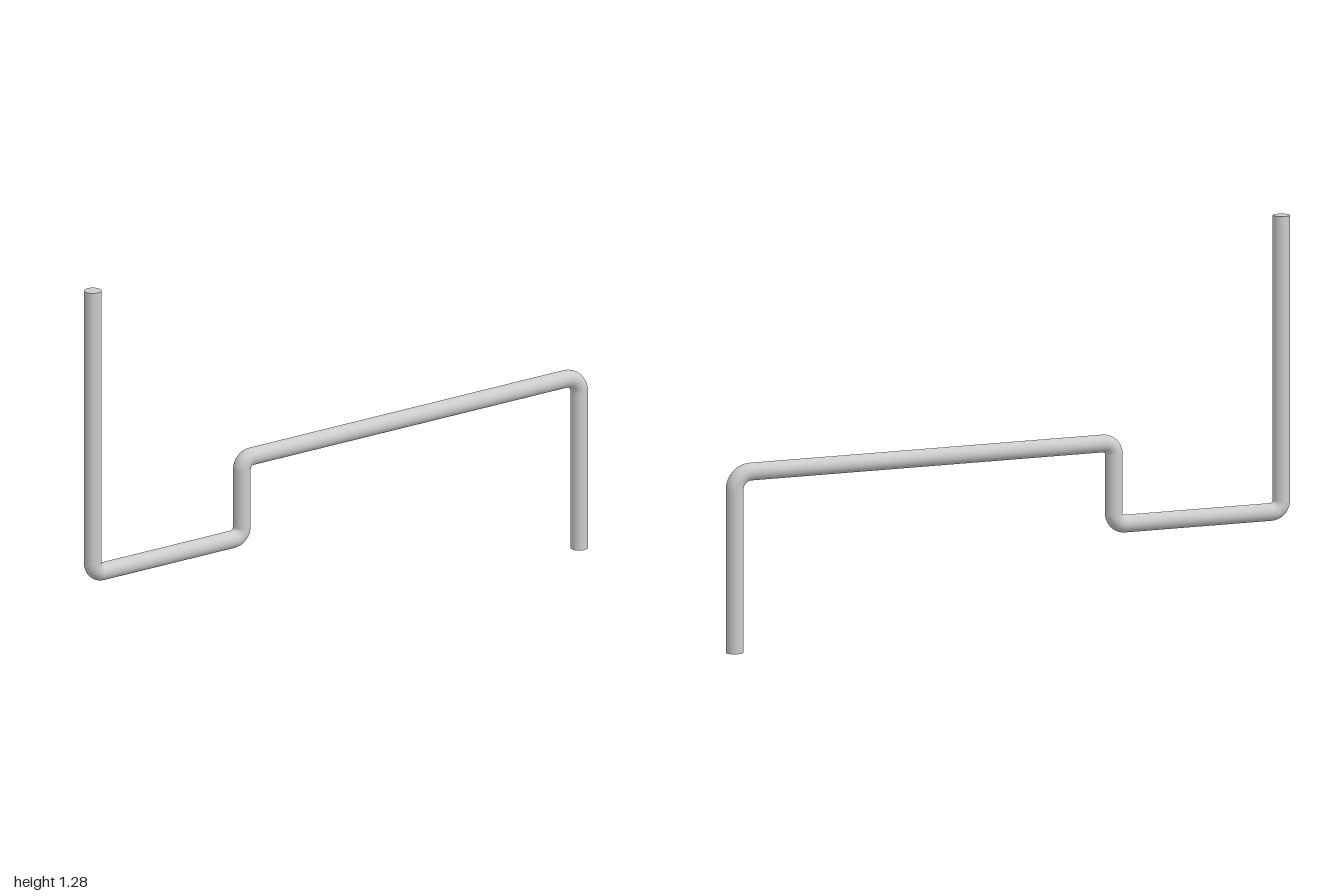
import * as THREE from 'three';

const R = 0.0285; // rod radius
const SIDES = 32;
const BEND_STEPS = 10;

// Corner points of the rod in the x = 0 plane: [z, y, bend radius]
const CORNERS = [
  [0.9715, 1.285, 0],
  [0.9715, 0.32, 0.037],
  [0.376, 0.32, 0.037],
  [0.376, 0.587, 0.037],
  [-0.9715, 0.587, 0.055],
  [-0.9715, 0, 0],
];

// Stations along the centre line: straight runs joined by circular bends
function centreLine() {
  const pts = CORNERS.map(([z, y]) => new THREE.Vector3(0, y, z));
  const dir = (i) => pts[i + 1].clone().sub(pts[i]).normalize();
  const stations = [{ p: pts[0], t: dir(0) }];
  for (let i = 1; i < pts.length - 1; i++) {
    const r = CORNERS[i][2], t0 = dir(i - 1), t1 = dir(i);
    const centre = pts[i].clone().addScaledVector(t0, -r).addScaledVector(t1, r);
    for (let k = 0; k <= BEND_STEPS; k++) {
      const a = (k / BEND_STEPS) * Math.PI / 2, c = Math.cos(a), s = Math.sin(a);
      stations.push({
        p: centre.clone().addScaledVector(t1, -r * c).addScaledVector(t0, r * s),
        t: t0.clone().multiplyScalar(c).addScaledVector(t1, s),
      });
    }
  }
  stations.push({ p: pts[pts.length - 1], t: dir(pts.length - 2) });
  return stations;
}

// Sweep a circle along the stations, with smooth radial normals
function sweep(stations) {
  const pos = [], nor = [], idx = [];
  const side = new THREE.Vector3(1, 0, 0);
  stations.forEach(({ p, t }, i) => {
    const n = side.clone().cross(t);
    for (let j = 0; j <= SIDES; j++) {
      const a = (j / SIDES) * Math.PI * 2;
      const d = n.clone().multiplyScalar(Math.cos(a)).addScaledVector(side, Math.sin(a));
      nor.push(d.x, d.y, d.z);
      pos.push(p.x + R * d.x, p.y + R * d.y, p.z + R * d.z);
      if (i > 0 && j > 0) {
        const d1 = i * (SIDES + 1) + j, d0 = d1 - 1;
        const c1 = d1 - SIDES - 1, c0 = c1 - 1;
        idx.push(c0, c1, d1, c0, d1, d0);
      }
    }
  });
  const g = new THREE.BufferGeometry();
  g.setAttribute('position', new THREE.Float32BufferAttribute(pos, 3));
  g.setAttribute('normal', new THREE.Float32BufferAttribute(nor, 3));
  g.setIndex(idx);
  return g;
}

export function createModel() {
  const group = new THREE.Group();
  group.name = 'bentRod';
  const mat = new THREE.MeshStandardMaterial({ color: 0xcccccc });

  const rod = new THREE.Mesh(sweep(centreLine()), mat);
  rod.name = 'rod';
  group.add(rod);

  // Flat end caps
  const addCap = (name, [z, y], up) => {
    const cap = new THREE.Mesh(new THREE.CircleGeometry(R, SIDES), mat);
    cap.name = name;
    cap.rotation.x = up ? -Math.PI / 2 : Math.PI / 2;
    cap.position.set(0, y, z);
    group.add(cap);
  };
  addCap('topCap', CORNERS[0], true);
  addCap('bottomCap', CORNERS[CORNERS.length - 1], false);

  return group;
}
